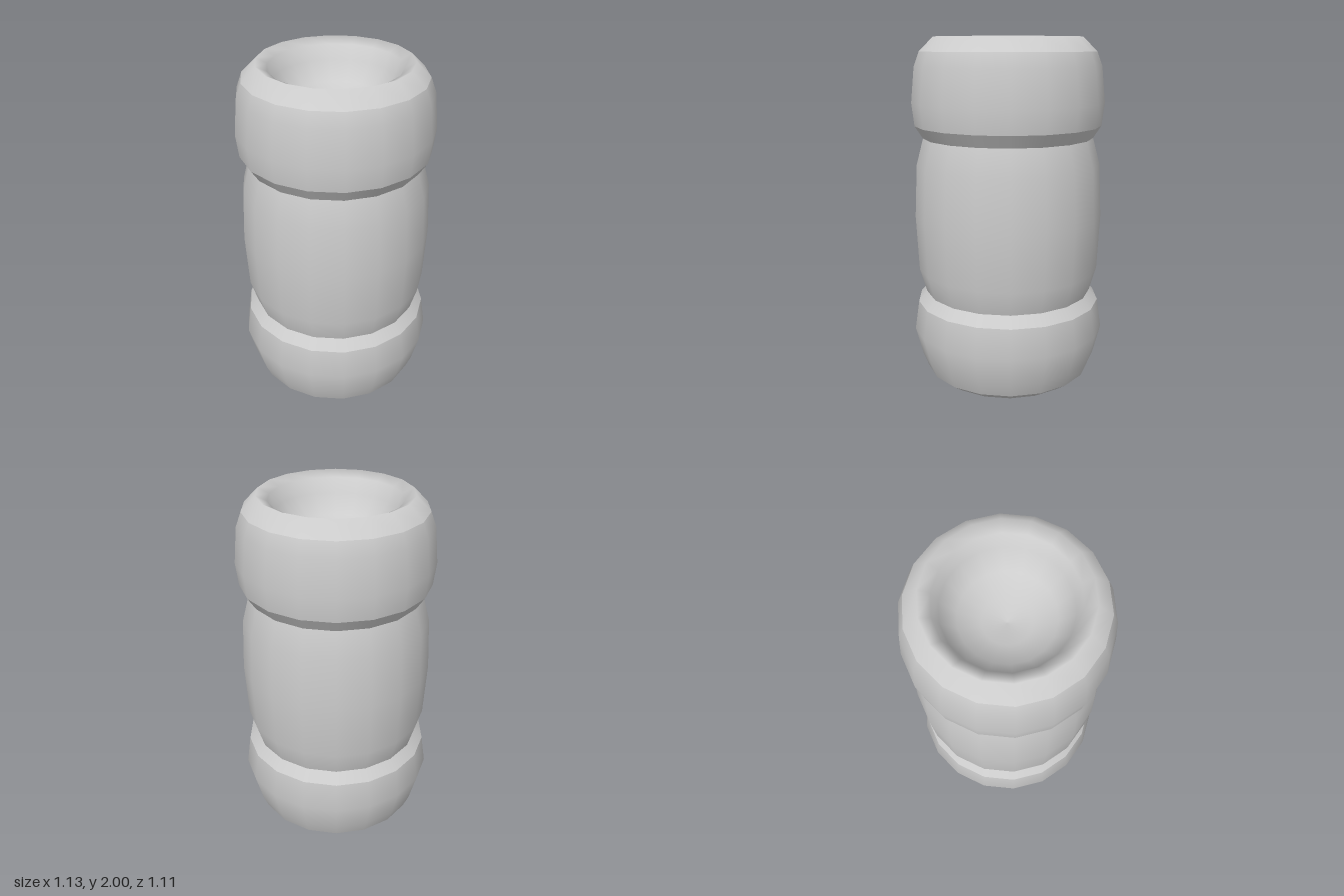
import * as THREE from 'three';

const SIDES = 18;
const material = new THREE.MeshStandardMaterial({ color: 0xcccccc });

// Turn a profile of [radius, height] pairs, listed from bottom to top
function turned(name, profile) {
  const points = profile.map(([r, y]) => new THREE.Vector2(r, y));
  const mesh = new THREE.Mesh(new THREE.LatheGeometry(points, SIDES, Math.PI / 2), material);
  mesh.name = name;
  return mesh;
}

export function createModel() {
  const model = new THREE.Group();
  model.name = 'ringedBarrel';

  // Lower collar: shallow hollow underside, chamfer, bulging wall and shoulder
  const lowerCollar = new THREE.Group();
  lowerCollar.name = 'lowerCollar';
  lowerCollar.add(
    turned('lowerRecess', [[0, 0.13], [0.37, 0.11], [0.42, 0]]),
    turned('lowerChamfer', [[0.42, 0], [0.49, 0.05]]),
    turned('lowerWall', [[0.49, 0.05], [0.522, 0.13], [0.565, 0.3], [0.54, 0.47]]),
    turned('lowerShoulder', [[0.54, 0.47], [0.49, 0.53]]),
  );

  // Barrel body between the two grooves
  const body = turned('body', [
    [0.49, 0.53], [0.53, 0.67], [0.545, 0.99], [0.53, 1.29], [0.49, 1.44],
  ]);

  // Upper collar: undercut, bulging wall, and rounded lip running into the bowl
  const upperCollar = new THREE.Group();
  upperCollar.name = 'upperCollar';
  upperCollar.add(
    turned('upperUndercut', [[0.49, 1.44], [0.535, 1.51]]),
    turned('upperWall', [[0.535, 1.51], [0.55, 1.64], [0.53, 1.84], [0.5, 1.92]]),
    turned('upperLip', [
      [0.5, 1.92], [0.42, 2], [0.36, 1.97], [0.33, 1.89], [0.25, 1.79], [0.13, 1.74], [0, 1.72],
    ]),
  );

  model.add(lowerCollar, body, upperCollar);
  return model;
}
